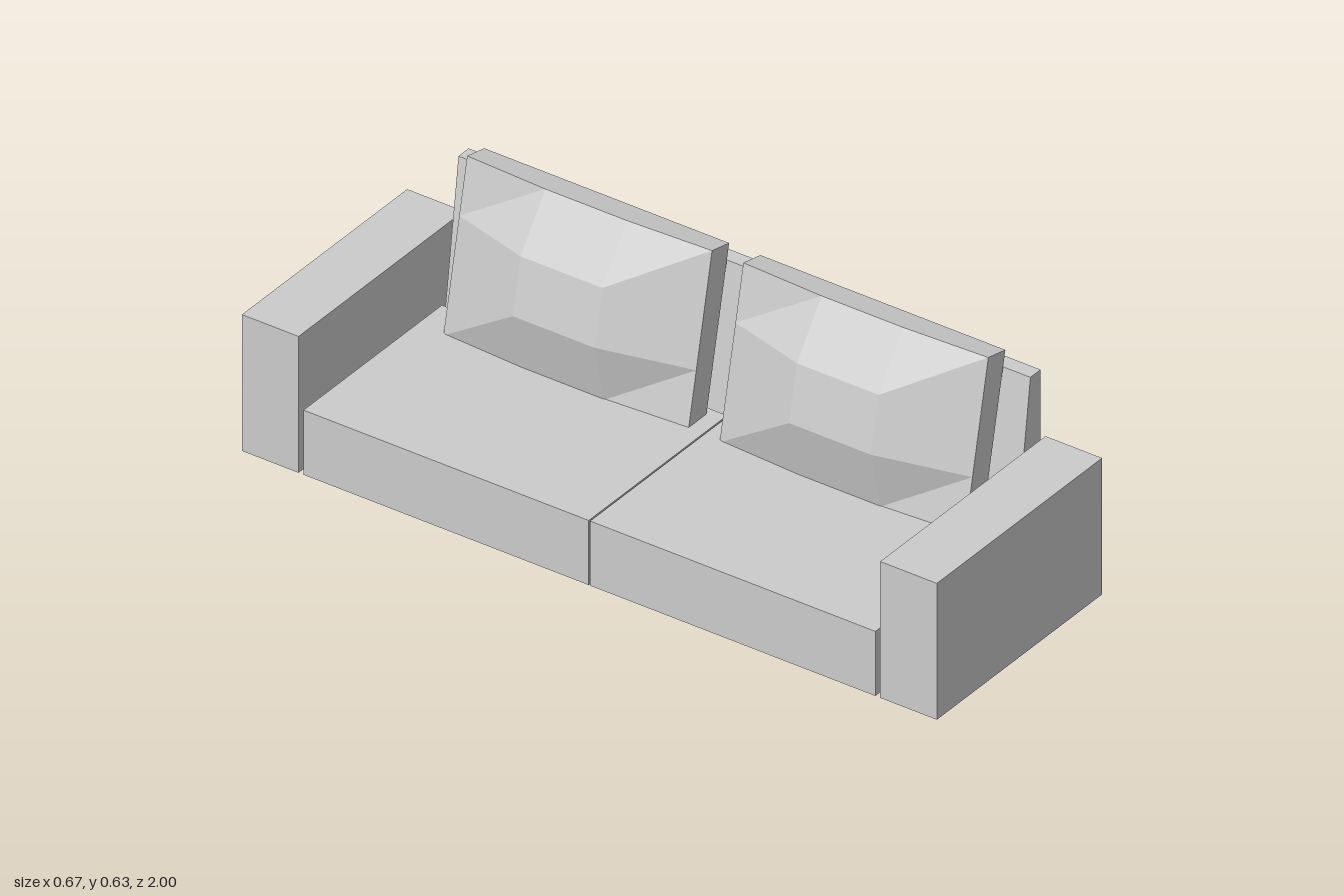
import * as THREE from 'three';

const material = new THREE.MeshStandardMaterial({ color: 0xcccccc, flatShading: true });

function addMesh(parent, name, geometry, x = 0, y = 0, z = 0) {
  const mesh = new THREE.Mesh(geometry, material);
  mesh.name = name;
  mesh.position.set(x, y, z);
  parent.add(mesh);
  return mesh;
}

// Slab cushion whose front (-x) face swells in a faceted 3 x 3 grid
function cushionGeometry(thickness, height, width) {
  const geometry = new THREE.BoxGeometry(thickness, height, width, 1, 3, 3);
  const pos = geometry.attributes.position;
  for (let i = 0; i < pos.count; i++) {
    if (pos.getX(i) > 0) continue;
    const insideY = Math.abs(pos.getY(i)) < height * 0.4;
    const insideZ = Math.abs(pos.getZ(i)) < width * 0.4;
    if (insideY && insideZ) pos.setX(i, pos.getX(i) - 0.083);
    else if (insideZ) pos.setX(i, pos.getX(i) - 0.014);
  }
  geometry.computeVertexNormals();
  return geometry;
}

// Backrest section: upright below the seat, then leaning to the rear
function backrestGeometry(width) {
  const shape = new THREE.Shape([
    [0.237, 0], [0.333, 0], [0.333, 0.56], [0.292, 0.56], [0.237, 0.15],
  ].map(([x, y]) => new THREE.Vector2(x, y)));
  const geometry = new THREE.ExtrudeGeometry(shape, { depth: width, bevelEnabled: false });
  return geometry.translate(0, 0, -width / 2);
}

export function createModel() {
  const sofa = new THREE.Group();
  sofa.name = 'sofa';

  const moduleWidth = 0.821;
  const arm = new THREE.BoxGeometry(0.666, 0.38, 0.163);
  const seat = new THREE.BoxGeometry(0.558, 0.18, moduleWidth);
  const backrest = backrestGeometry(moduleWidth);
  const cushion = cushionGeometry(0.07, 0.46, 0.705);

  // The sofa faces -x; each half mirrors the other across z = 0
  for (const [side, s] of [['near', 1], ['far', -1]]) {
    const half = new THREE.Group();
    half.name = side + 'Half';
    sofa.add(half);
    const moduleZ = s * (0.002 + moduleWidth / 2);
    addMesh(half, 'armrest', arm, 0, 0.19, s * 0.9185);
    addMesh(half, 'seat', seat, -0.054, 0.09, moduleZ);
    addMesh(half, 'backrest', backrest, 0, 0, moduleZ);
    const pillow = addMesh(half, 'backCushion', cushion, 0.211, 0.391, s * 0.3975);
    pillow.rotation.z = -THREE.MathUtils.degToRad(12);
  }
  return sofa;
}
